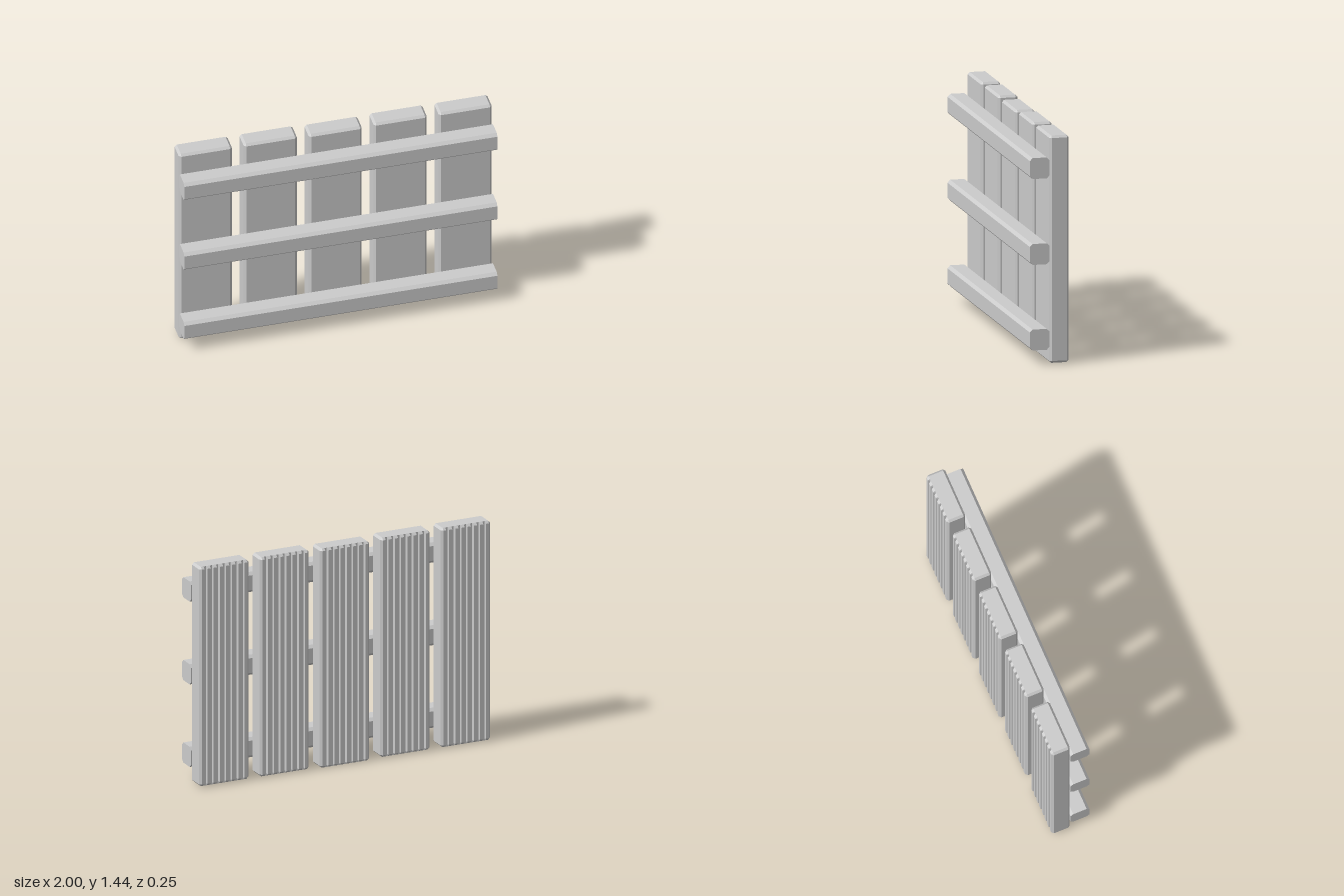
import * as THREE from 'three';

const material = new THREE.MeshStandardMaterial({ color: 0xcccccc, flatShading: true });
const toShape = (pts) => new THREE.Shape(pts.map(([x, y]) => new THREE.Vector2(x, y)));

// Upright plank: grooved back, chamfered edges, running up +y, front face at z = 0
function plankGeometry(width, height, depth) {
  const c = 0.014, ridges = 8, h = width / 2;
  const pts = [[-h, c], [-h + c, 0], [h - c, 0], [h, c], [h, depth - c], [h - c, depth]];
  const pitch = width / ridges;
  for (let i = 1; i < ridges; i++) {
    const x = h - i * pitch;
    pts.push([x + 0.01, depth], [x + 0.005, depth - c], [x - 0.005, depth - c], [x - 0.01, depth]);
  }
  pts.push([-h + c, depth], [-h, depth - c]);
  const geo = new THREE.ExtrudeGeometry(toShape(pts), { depth: height, steps: 3, bevelEnabled: false });

  // Draw the end rows inward to chamfer the top and bottom
  const p = geo.attributes.position;
  const rows = [0, c, height - c, height];
  for (let i = 0; i < p.count; i++) {
    const row = Math.round((p.getZ(i) / height) * 3);
    p.setZ(i, rows[row]);
    if (row === 0 || row === 3) {
      p.setX(i, THREE.MathUtils.clamp(p.getX(i), -h + c, h - c));
      p.setY(i, THREE.MathUtils.clamp(p.getY(i), c, depth - c));
    }
  }
  geo.rotateX(-Math.PI / 2);
  geo.computeVertexNormals();
  return geo;
}

// Cross rail: chamfered square section with flat ends, centred on x
function railGeometry(length, height, depth) {
  const c = 0.018, h = height / 2;
  const shape = toShape([
    [-depth + c, -h], [-c, -h], [0, -h + c], [0, h - c],
    [-c, h], [-depth + c, h], [-depth, h - c], [-depth, -h + c],
  ]);
  const geo = new THREE.ExtrudeGeometry(shape, { depth: length, bevelEnabled: false });
  geo.translate(0, 0, -length / 2);
  geo.rotateY(Math.PI / 2);
  return geo;
}

export function createModel() {
  const group = new THREE.Group();
  group.name = 'woodenPanel';

  // Five planks, the middle one sitting slightly lower
  const plank = plankGeometry(0.34, 1.435, 0.125);
  for (let i = -2; i <= 2; i++) {
    const mesh = new THREE.Mesh(plank, material);
    mesh.name = `plank${i + 3}`;
    mesh.position.set(i * 0.415, i === 0 ? 0 : 0.007, 0);
    group.add(mesh);
  }

  // Three rails across the front
  const rail = railGeometry(2, 0.132, 0.126);
  [['lowerRail', 0.16], ['middleRail', 0.7], ['upperRail', 1.242]].forEach(([name, y]) => {
    const mesh = new THREE.Mesh(rail, material);
    mesh.name = name;
    mesh.position.y = y;
    group.add(mesh);
  });
  return group;
}
